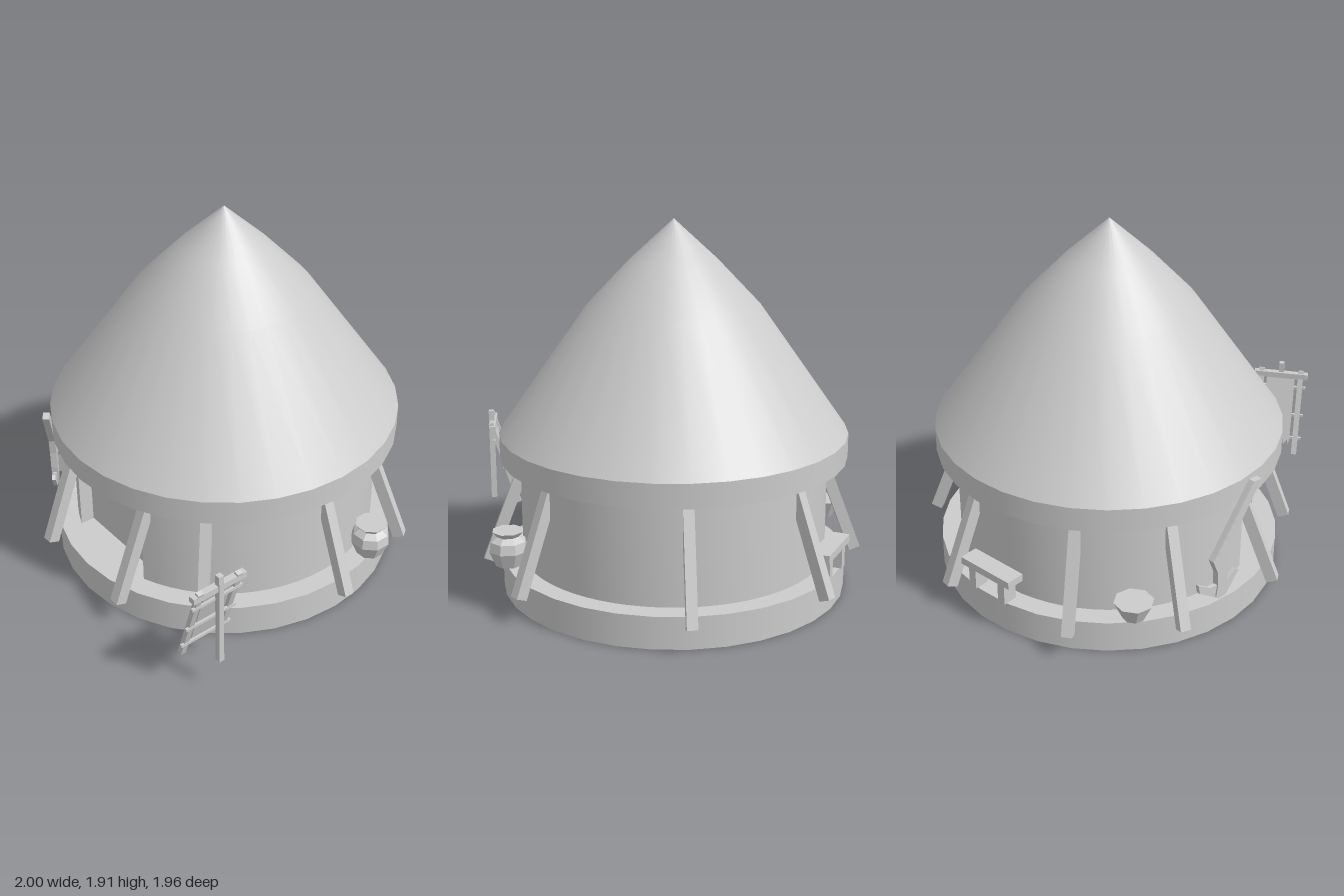
import * as THREE from 'three';
import { toCreasedNormals } from 'three/addons/utils/BufferGeometryUtils.js';

// Double-sided because the roof and the base are open shells
const clay = new THREE.MeshStandardMaterial({ color: 0xcccccc, side: THREE.DoubleSide });
clay.name = 'plain grey';

const V = (x, y, z) => new THREE.Vector3(x, y, z);

function add(parent, name, geometry) {
  const mesh = new THREE.Mesh(geometry, clay);
  mesh.name = name;
  parent.add(mesh);
  return mesh;
}

function box(parent, name, w, h, d, x, y, z) {
  const mesh = add(parent, name, new THREE.BoxGeometry(w, h, d));
  mesh.position.set(x, y, z);
  return mesh;
}

// Lathe from [radius, height] pairs, bottom to top
function lathe(points, sides) {
  return new THREE.LatheGeometry(points.map(([r, y]) => new THREE.Vector2(r, y)), sides);
}

// Faceted vessel
function facetedLathe(points, sides) {
  const g = lathe(points, sides).toNonIndexed();
  g.computeVertexNormals();
  return g;
}

// Square beam leaning in the local x-y plane, between two points
function beam(parent, name, a, b, thick, width) {
  const dir = b.clone().sub(a);
  const mesh = add(parent, name, new THREE.BoxGeometry(thick, dir.length(), width));
  mesh.position.copy(a).add(b).multiplyScalar(0.5);
  mesh.rotation.z = Math.atan2(-dir.x, dir.y);
  return mesh;
}

function shapeOf(points) {
  return new THREE.Shape(points.map(([x, y]) => new THREE.Vector2(x, y)));
}

// Open-bottomed plinth: a rim with a floor plate on top
function buildBase(parent) {
  const base = new THREE.Group();
  base.name = 'base';
  parent.add(base);
  add(base, 'baseRim', new THREE.CylinderGeometry(0.9, 0.9, 0.168, 32, 1, true)).position.y = 0.084;
  const floor = add(base, 'floor', new THREE.CircleGeometry(0.9, 32));
  floor.rotation.x = -Math.PI / 2;
  floor.position.y = 0.168;
}

// Round wall with a shallow flat doorway recess at the front
function buildWall(parent) {
  const r = 0.796, half = 0.28, recess = 0.67;
  const a = Math.acos(half / r);
  const shape = new THREE.Shape();
  shape.absarc(0, 0, r, -a, Math.PI + a, false);
  shape.lineTo(-half, -recess);
  shape.lineTo(half, -recess);
  const g = new THREE.ExtrudeGeometry(shape, { depth: 0.533, bevelEnabled: false, curveSegments: 30 });
  g.rotateX(-Math.PI / 2);
  add(parent, 'wall', toCreasedNormals(g, 0.5)).position.y = 0.17;
}

// Hollow roof, open underneath
function buildRoof(parent) {
  const roof = new THREE.Group();
  roof.name = 'roof';
  parent.add(roof);
  add(roof, 'thatchCone', lathe([[0.9, 0.826], [0.443, 1.475], [0.222, 1.708], [0, 1.913]], 32));
  const eave = add(roof, 'eaveBand', new THREE.CylinderGeometry(0.9, 0.9, 0.124, 32, 1, true));
  eave.position.y = 0.764;
}

// Leaning posts around the wall; the door pair runs parallel to z
function buildPosts(parent) {
  const post = (angle, x, shift = 0) => {
    const g = new THREE.Group();
    g.name = 'leaningPost';
    g.position.x = x;
    g.rotation.y = angle;
    beam(g, 'post', V(0.972 + shift, 0.134, 0), V(0.752 + shift, 0.71, 0), 0.06, 0.054);
    parent.add(g);
  };
  for (const deg of [0, 33.7, 90, 135.5, 180, 213.7, 315]) post(deg * Math.PI / 180, 0);
  for (const x of [-0.308, 0.302]) post(-Math.PI / 2, x, -0.052);
}

// Closed-topped jar and bowl
function buildVessels(parent) {
  const jar = add(parent, 'jar', facetedLathe([[0, 0], [0.068, 0], [0.102, 0.08], [0.092, 0.13],
    [0.06, 0.155], [0.082, 0.182], [0, 0.182]], 8));
  jar.position.set(0.862, 0.205, -0.248);
  jar.rotation.y = Math.PI / 8;

  const bowl = add(parent, 'bowl', facetedLathe([[0, 0], [0.055, 0], [0.1, 0.095], [0, 0.095]], 8));
  bowl.position.set(-0.855, 0.21, 0.315);
  bowl.rotation.y = Math.PI / 8;
}

// Low bench on the ledge
function buildBench(parent) {
  const bench = new THREE.Group();
  bench.name = 'bench';
  bench.position.set(-0.752, 0, -0.423);
  bench.rotation.y = Math.PI - 0.51;
  box(bench, 'benchSeat', 0.1, 0.04, 0.33, 0, 0.308, 0);
  for (const s of [-1, 1]) box(bench, 'benchLeg', 0.08, 0.122, 0.045, 0, 0.231, s * 0.1);
  parent.add(bench);
}

// Free-standing rack: two leaning poles, a prop, rungs and a stretched hide
function buildRack(parent) {
  const rack = new THREE.Group();
  rack.name = 'dryingRack';
  parent.add(rack);
  const zc = 0.826;
  const xAt = y => 0.832 + (y - 0.2) * 0.31;
  for (const s of [-1, 1]) {
    beam(rack, 'rackPole', V(xAt(0.2), 0.2, zc + s * 0.112), V(xAt(0.67), 0.67, zc + s * 0.112), 0.025, 0.03);
  }
  box(rack, 'rackProp', 0.03, 0.52, 0.028, 0.978, 0.454, zc);
  box(rack, 'rackTopBar', 0.034, 0.032, 0.305, xAt(0.642), 0.642, zc);
  for (const y of [0.57, 0.415, 0.285]) box(rack, 'rackRung', 0.014, 0.014, 0.29, xAt(y) + 0.012, y, zc);
  // Hide with a ragged lower edge
  const outline = [[-0.08, 0.63], [-0.08, 0.28]];
  for (let i = 0; i < 6; i++) {
    const z = -0.08 + i * 0.0267;
    outline.push([z + 0.006, 0.25], [z + 0.013, 0.28]);
  }
  outline.push([0.08, 0.28], [0.08, 0.63]);
  const g = new THREE.ExtrudeGeometry(shapeOf(outline), { depth: 0.01, bevelEnabled: false });
  g.rotateY(Math.PI / 2);
  const p = g.attributes.position;
  for (let i = 0; i < p.count; i++) p.setX(i, p.getX(i) + xAt(p.getY(i)) - 0.005);
  g.computeVertexNormals();
  add(rack, 'hide', g).position.z = zc;
}

// Crooked-handled hoe leaning on the wall
function buildHoe(parent) {
  const hoe = new THREE.Group();
  hoe.name = 'hoe';
  hoe.position.set(-0.6, 0, 0.71);
  hoe.rotation.y = -0.63;
  parent.add(hoe);
  const plate = (name, points, depth) => {
    const g = new THREE.ExtrudeGeometry(shapeOf(points), { depth, bevelEnabled: false });
    g.translate(0, 0, -depth / 2);
    add(hoe, name, g);
  };
  plate('hoeHandle', [[0.17, 0.81], [-0.09, 0.46], [-0.055, 0.38], [-0.05, 0.3], [-0.06, 0.24], [0.0, 0.22],
    [0.015, 0.34], [0.02, 0.44], [0.035, 0.53], [0.225, 0.805]], 0.034);
  plate('hoeBlade', [[-0.18, 0.36], [-0.17, 0.31], [-0.085, 0.25], [-0.03, 0.21], [0.02, 0.22], [0.1, 0.32],
    [0.08, 0.34], [0.03, 0.31], [-0.03, 0.3], [-0.1, 0.31]], 0.02);
}

export function createModel() {
  const hut = new THREE.Group();
  hut.name = 'roundHut';
  // The building sits slightly forward of centre
  const building = new THREE.Group();
  building.name = 'building';
  building.position.z = 0.014;
  hut.add(building);
  buildBase(building);
  buildWall(building);
  buildRoof(building);
  buildPosts(building);
  buildVessels(hut);
  buildBench(hut);
  buildRack(hut);
  buildHoe(hut);
  return hut;
}
